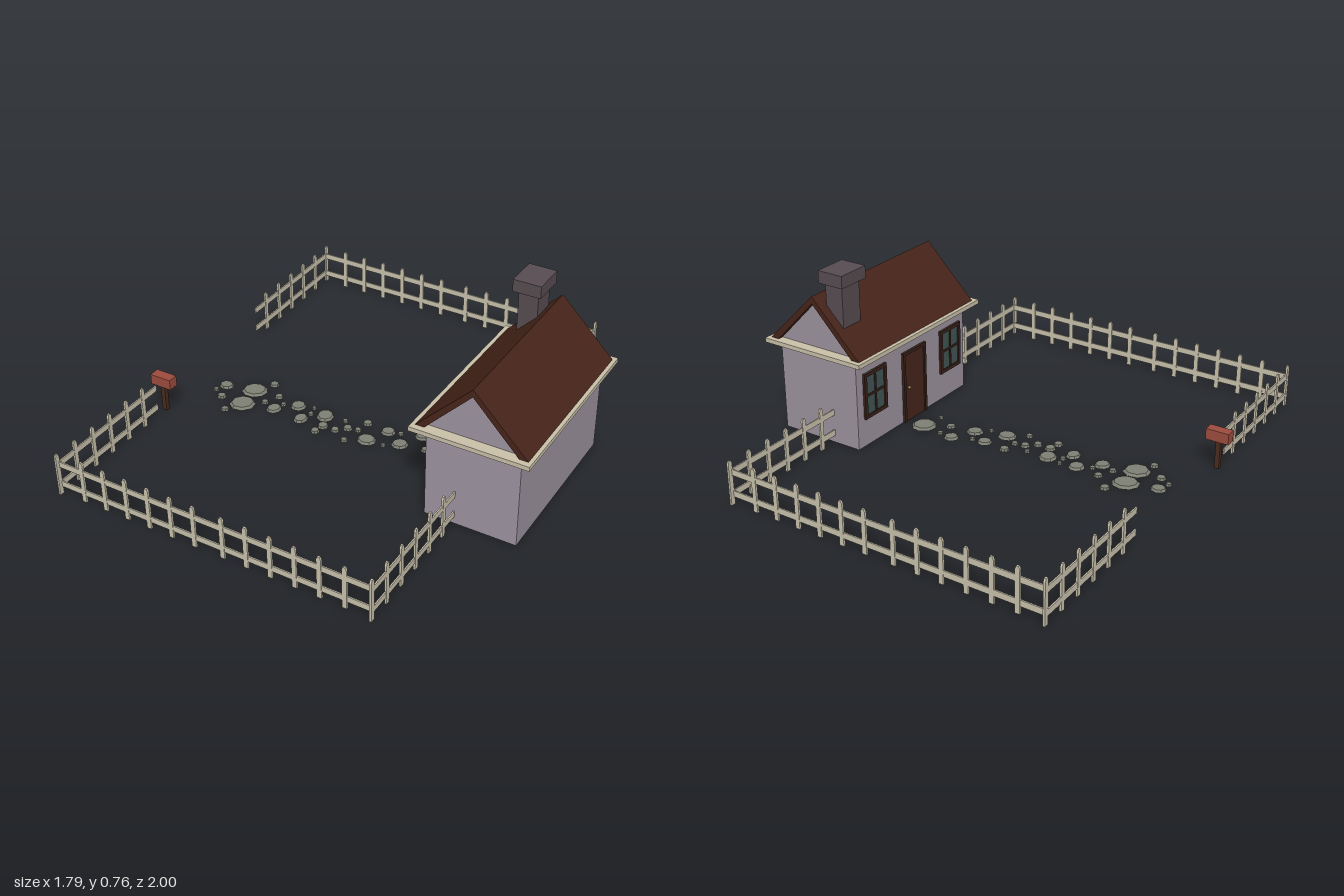
import * as THREE from 'three';

const mat = (color, flat = false) => new THREE.MeshStandardMaterial({ color, flatShading: flat });
const M = {
  wall: mat(0x9c929e), roof: mat(0x47241a), trim: mat(0xc9c0a8), brick: mat(0x574c51),
  door: mat(0x45241a), frame: mat(0x38201a), glass: mat(0x3f5552), knob: mat(0xb09050),
  fence: mat(0xc8c1ac), stone: mat(0x7f8074, true), post: mat(0x4a2c1e), mail: mat(0x9c4c3e),
};

function add(parent, name, geo, material) {
  const m = new THREE.Mesh(geo, material);
  m.name = name;
  parent.add(m);
  return m;
}

// Box given by its min and max on each axis
function box(parent, name, material, x0, x1, y0, y1, z0, z1) {
  const m = add(parent, name, new THREE.BoxGeometry(x1 - x0, y1 - y0, z1 - z0), material);
  m.position.set((x0 + x1) / 2, (y0 + y1) / 2, (z0 + z1) / 2);
  return m;
}

// Outline in x,y extruded from z0 to z1
function prism(parent, name, material, pts, z0, z1) {
  const shape = new THREE.Shape(pts.map(([x, y]) => new THREE.Vector2(x, y)));
  const geo = new THREE.ExtrudeGeometry(shape, { depth: z1 - z0, bevelEnabled: false });
  const m = add(parent, name, geo, material);
  m.position.z = z0;
  return m;
}

function named(parent, name) {
  const g = new THREE.Group();
  g.name = name;
  parent.add(g);
  return g;
}

// Window on the -x wall, centred on z
function addWindow(parent, z) {
  const g = named(parent, 'window');
  const x0 = 0.436, x1 = 0.455, y0 = 0.13, y1 = 0.335, h = 0.073, b = 0.016;
  box(g, 'glass', M.glass, 0.442, x1, y0, y1, z - h + 0.005, z + h - 0.005);
  for (const s of [-1, 1]) {
    const c = z + s * (h - b / 2);
    box(g, 'frameSide', M.frame, x0, x1, y0, y1, c - b / 2, c + b / 2);
  }
  box(g, 'frameTop', M.frame, x0, x1, y1 - b, y1, z - h, z + h);
  box(g, 'frameSill', M.frame, x0, x1, y0, y0 + b, z - h, z + h);
  const ym = (y0 + y1) / 2;
  box(g, 'barUpright', M.frame, 0.438, x1, y0, y1, z - 0.005, z + 0.005);
  box(g, 'barCross', M.frame, 0.438, x1, ym - 0.005, ym + 0.005, z - h, z + h);
}

function house() {
  const g = new THREE.Group();
  g.name = 'house';
  box(g, 'walls', M.wall, 0.447, 0.84, 0.005, 0.405, -0.378, 0.37);
  box(g, 'eaveSlab', M.trim, 0.392, 0.889, 0.402, 0.421, -0.422, 0.414);
  // Roof shell over recessed gables
  const cx = 0.641;
  prism(g, 'roof', M.roof, [[cx - 0.233, 0.42], [cx - 0.195, 0.42], [cx, 0.622],
    [cx + 0.195, 0.42], [cx + 0.233, 0.42], [cx, 0.654]], -0.4, 0.388);
  prism(g, 'gables', M.wall, [[cx - 0.197, 0.42], [cx + 0.197, 0.42], [cx, 0.624]], -0.375, 0.365);
  // Chimney
  box(g, 'chimneyStack', M.brick, 0.515, 0.6, 0.44, 0.713, -0.358, -0.25);
  box(g, 'chimneyCap', M.brick, 0.496, 0.617, 0.71, 0.764, -0.379, -0.23);
  // Door with frame and knob
  box(g, 'door', M.door, 0.441, 0.455, 0.005, 0.32, -0.066, 0.07);
  for (const z of [-0.078, 0.066]) box(g, 'doorJamb', M.frame, 0.435, 0.455, 0.005, 0.33, z, z + 0.014);
  box(g, 'doorHead', M.frame, 0.435, 0.455, 0.316, 0.33, -0.078, 0.08);
  add(g, 'doorKnob', new THREE.SphereGeometry(0.007, 8, 6), M.knob).position.set(0.432, 0.165, -0.048);
  addWindow(g, -0.264);
  addWindow(g, 0.262);
  return g;
}

// Fence run along local x, with rails from a to b and a picket at each offset
const W = 0.01, T = 0.19;
const picketShape = new THREE.Shape([[-W, 0], [W, 0], [W, T - 0.012], [W / 2, T], [-W / 2, T], [-W, T - 0.012]]
  .map(([x, y]) => new THREE.Vector2(x, y)));
const picketGeo = new THREE.ExtrudeGeometry(picketShape, { depth: 0.009, bevelEnabled: false });
picketGeo.translate(0, 0.005, -0.0045);

function fence(parent, a, b, pickets) {
  const g = named(parent, 'fence');
  for (const y of [0.038, 0.132]) box(g, 'rail', M.fence, a, b, y, y + 0.026, -0.003, 0.003);
  for (const x of pickets) add(g, 'picket', picketGeo, M.fence).position.x = x;
  return g;
}

function fences() {
  const g = new THREE.Group();
  g.name = 'fences';
  const six = [0, 1, 2, 3, 4, 5].map(i => i * 0.106);
  for (const s of [-1, 1]) {
    // Long run of two panels, then a short run at each end
    const long = [...six.map(d => -0.73 + d), ...six.map(d => -0.07 + d)];
    fence(g, -0.847, 0.577, long).position.z = s * 0.982;
    for (const x of [-0.845, 0.575]) {
      const f = fence(g, 0.37, 0.985, six.map(d => 0.99 - d));
      f.position.x = x;
      f.rotation.y = -s * Math.PI / 2;
    }
  }
  return g;
}

// Stepping stones as x, z, radius in hundredths
const STONES = [
  [-73, 3, 3.4], [-75, 8, 1.3], [-70, 11, 2.1], [-60, 0, 5.8], [-59, 11, 5.8], [-55, -8, 2.1],
  [-63, 18.5, 1.9], [-48, -1, 1.9], [-51, 5.5, 1.6], [-45, 7.5, 3.5], [-43, 3, 1.3], [-37, 0.5, 3.5],
  [-31, 8, 3.5], [-30, -1.3, 1.1], [-29, 3, 1.3], [-23, 1, 4.3], [-21, 12.5, 2.1], [-20, 7.7, 2.4],
  [-14, 7.7, 2.1], [-13.5, 0, 1.3], [-10, 4, 2.1], [-5.5, 3, 1.6], [-7, 12, 1.6], [-4.5, -3.4, 2.1],
  [1, 7, 4.3], [6, -2.6, 3.2], [9, 7, 1.1], [11.4, -3.7, 1.3], [14.5, 2.7, 3.7], [20, -7, 3.2],
  [25.7, 0.8, 2.1], [26, -6.6, 1.3], [36, -4.5, 5.5], [34, 5, 1.1],
];

function path() {
  const g = new THREE.Group();
  g.name = 'path';
  STONES.forEach(([x, z, r], i) => {
    const geo = new THREE.CylinderGeometry(0.82, 1, 1, 8 + (i % 2));
    const m = add(g, 'steppingStone', geo, M.stone);
    m.scale.set(r / 100, 0.011, r / 100 * (0.88 + 0.05 * (i % 3)));
    m.position.set(x / 100, 0.0055, z / 100);
    m.rotation.y = i * 0.13;
  });
  return g;
}

function mailbox() {
  const g = new THREE.Group();
  g.name = 'mailbox';
  box(g, 'mailboxPost', M.post, -0.858, -0.838, 0.005, 0.135, 0.302, 0.322);
  box(g, 'mailboxBody', M.mail, -0.897, -0.797, 0.131, 0.178, 0.289, 0.335);
  return g;
}

export function createModel() {
  const model = new THREE.Group();
  model.name = 'cottageYard';
  model.add(house(), fences(), path(), mailbox());
  return model;
}
